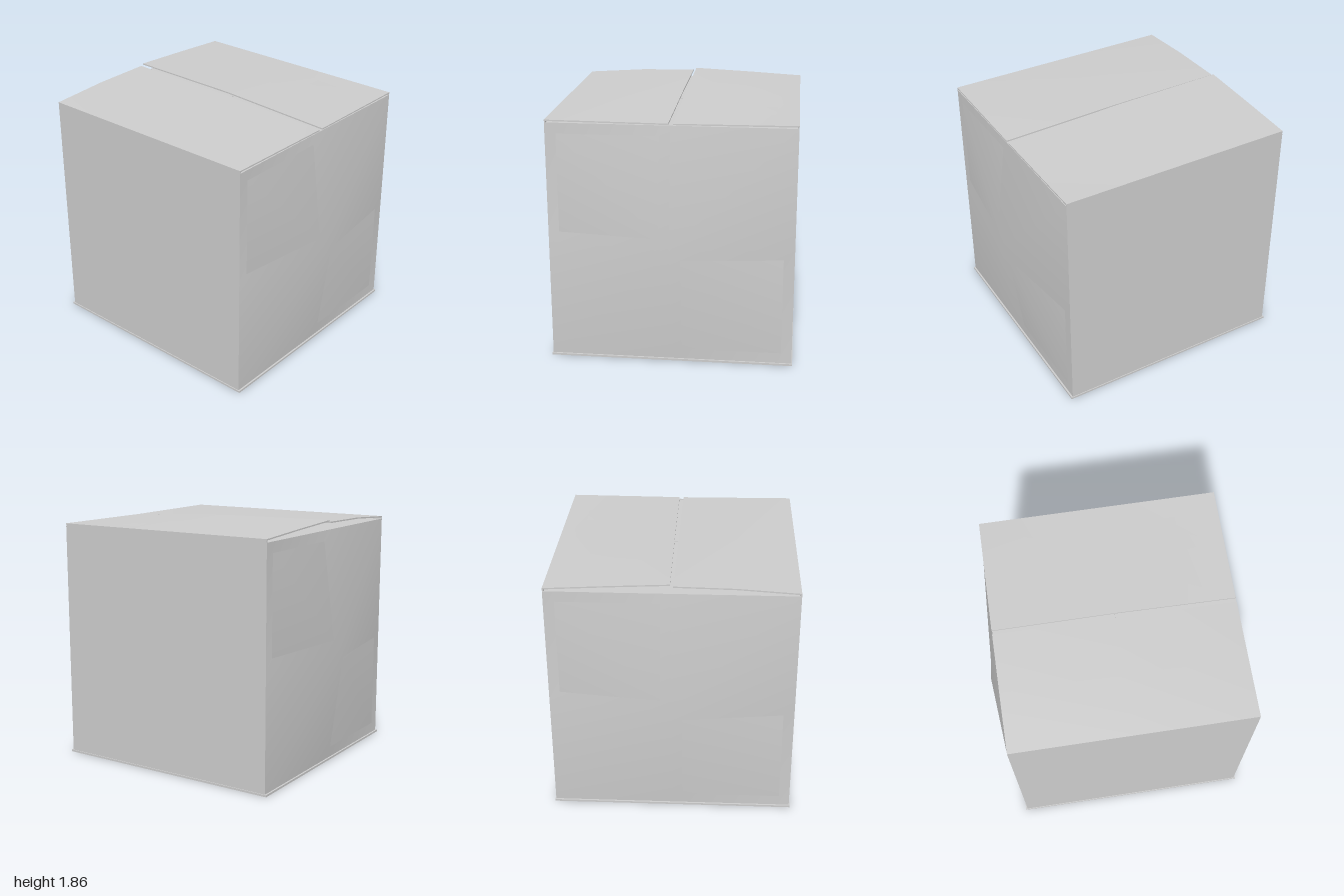
import * as THREE from 'three';

const material = new THREE.MeshStandardMaterial({ color: 0xcccccc, side: THREE.DoubleSide });

// Thin board; an optional rule moves its vertices to bend it
function board(name, size, segments, position, bend) {
  const geometry = new THREE.BoxGeometry(...size, ...segments);
  if (bend) {
    const p = geometry.attributes.position;
    const v = new THREE.Vector3();
    for (let i = 0; i < p.count; i++) {
      bend(v.fromBufferAttribute(p, i));
      p.setXYZ(i, v.x, v.y, v.z);
    }
    geometry.computeVertexNormals();
  }
  const mesh = new THREE.Mesh(geometry, material);
  mesh.name = name;
  mesh.position.set(...position);
  return mesh;
}

export function createModel() {
  const group = new THREE.Group();
  group.name = 'cardboardBox';
  const thick = 0.01;

  // Closed bottom flaps, slightly wider than the walls
  group.add(board('bottom', [1.795, 0.015, 1.8], [1, 1, 1], [0, 0.0075, 0]));

  for (const s of [-1, 1]) {
    // Flat side walls
    group.add(board(s > 0 ? 'leftWall' : 'rightWall',
      [thick, 1.8, 1.77], [1, 1, 1], [s * 0.886, 0.91, 0]));

    // Front and back walls, bulging outward at the middle
    group.add(board(s > 0 ? 'frontWall' : 'backWall',
      [1.782, 1.775, thick], [2, 2, 1], [0, 0.9025, s * 0.882], (v) => {
        if (Math.abs(v.x) < 0.01 && Math.abs(v.y) < 0.01) v.z += s * 0.113;
      }));

    // Inner flaps, folded flat under the outer ones
    group.add(board(s > 0 ? 'frontInnerFlap' : 'backInnerFlap',
      [1.76, thick, 0.88], [1, 1, 1], [0, 1.784, s * 0.442]));
  }

  // Warped outer flaps: top heights by row (back, middle, front),
  // each from the hinge to the free edge; inner is the free edge's x per row
  const flaps = [
    { name: 'rightTopFlap', side: -1, inner: [0.012, 0.012, 0.014],
      tops: [[1.81, 1.838, 1.846], [1.81, 1.828, 1.835], [1.81, 1.807, 1.804]] },
    { name: 'leftTopFlap', side: 1, inner: [0.01, 0.016, 0.021],
      tops: [[1.814, 1.839, 1.86], [1.812, 1.836, 1.848], [1.81, 1.807, 1.804]] },
  ];
  for (const { name, side, inner, tops } of flaps) {
    group.add(board(name, [2, thick, 2], [2, 1, 2], [0, 0, 0], (v) => {
      const row = Math.round(v.z) + 1;
      const col = 1 - side * Math.round(v.x);
      v.x = side * THREE.MathUtils.lerp(0.891, inner[row], col / 2);
      v.y += tops[row][col] - thick / 2;
      v.z *= 0.887;
    }));
  }

  return group;
}
